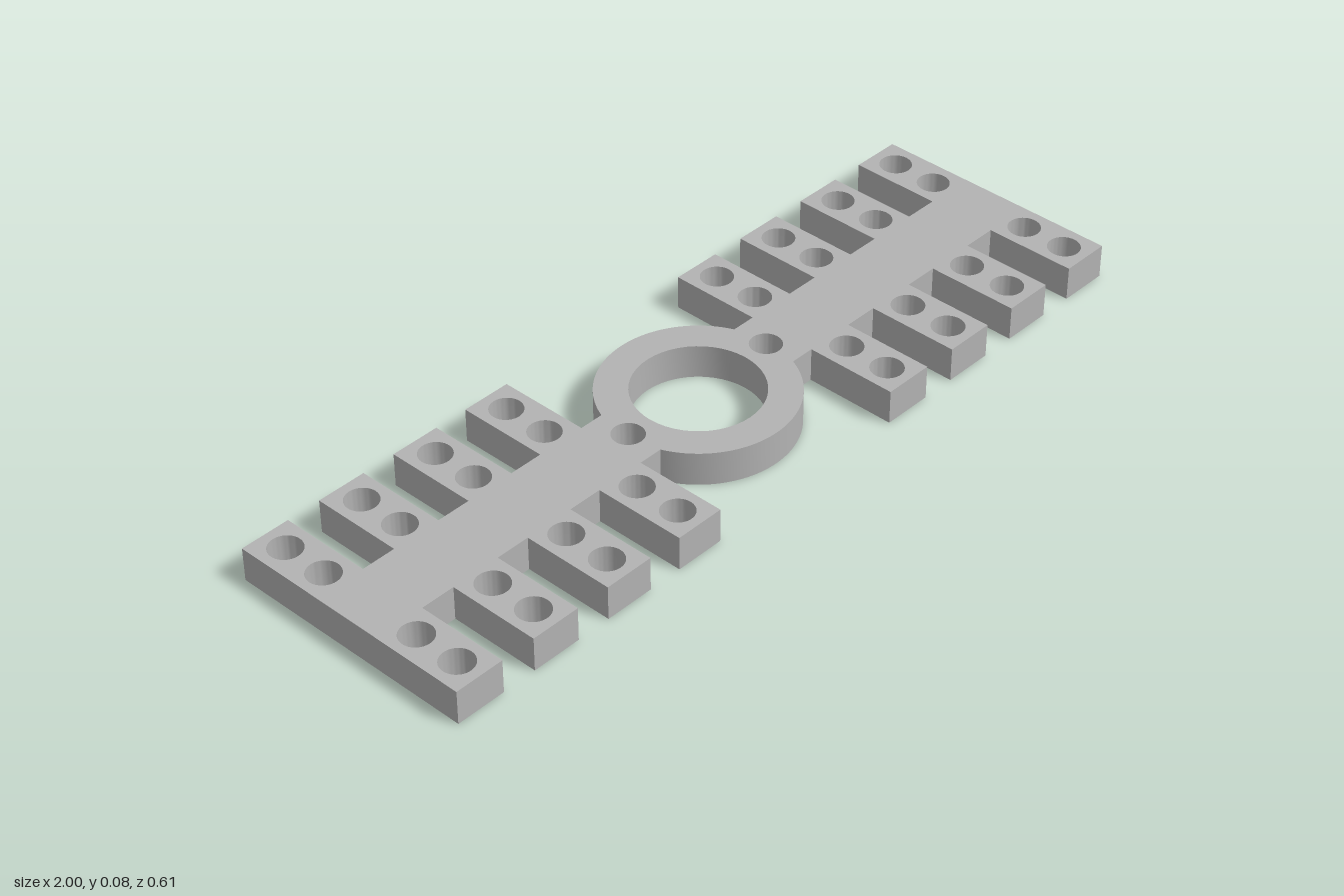
import * as THREE from 'three';
import { toCreasedNormals } from 'three/addons/utils/BufferGeometryUtils.js';

const HEIGHT = 0.082;
const BAR = 0.085;        // half width of the spine
const REACH = 0.307;      // half width across the teeth
const RING_OUT = 0.223, RING_IN = 0.148;
const TOOTH = 0.121, PITCH = 0.2045;

export function createModel() {
  const model = new THREE.Group();
  const grey = new THREE.MeshStandardMaterial({ color: 0xb3b3b3 });
  grey.name = 'plain grey';

  // Comb edge of one quarter, from the ring outwards
  const comb = [];
  for (let i = 3; i >= 0; i--) {
    const outer = 1 - i * PITCH, inner = outer - TOOTH;
    comb.push([inner, BAR], [inner, REACH], [outer, REACH]);
    if (i > 0) comb.push([outer, BAR]);
  }
  const back = [...comb].reverse();

  // Outline, anticlockwise: right comb, ring arc, left comb, ring arc
  const shape = new THREE.Shape();
  const angle = Math.asin(BAR / RING_OUT);
  const line = (points, sx, sy) => points.forEach(([x, y]) => shape.lineTo(x * sx, y * sy));
  shape.moveTo(RING_OUT * Math.cos(angle), -BAR);
  line(comb, 1, -1);
  line(back, 1, 1);
  shape.absarc(0, 0, RING_OUT, angle, Math.PI - angle, false);
  line(comb, -1, 1);
  line(back, -1, -1);
  shape.absarc(0, 0, RING_OUT, Math.PI + angle, 2 * Math.PI - angle, false);

  // Through holes: ring opening, ring screws, two per tooth
  const hole = (x, y, r) => {
    const path = new THREE.Path();
    path.absarc(x, y, r, 0, Math.PI * 2, true);
    shape.holes.push(path);
  };
  hole(0, 0, RING_IN);
  for (const sx of [-1, 1]) {
    hole(sx * 0.214, 0, 0.037);
    for (let i = 0; i < 4; i++) {
      const x = sx * (1 - TOOTH / 2 - i * PITCH);
      for (const y of [-0.246, -0.133, 0.133, 0.246]) hole(x, y, 0.038);
    }
  }

  const geometry = new THREE.ExtrudeGeometry(shape, {
    depth: HEIGHT, bevelEnabled: false, curveSegments: 24,
  });
  geometry.rotateX(-Math.PI / 2);
  const plate = new THREE.Mesh(toCreasedNormals(geometry, 0.5), grey);
  plate.name = 'combPlateWithRing';
  model.add(plate);
  return model;
}
